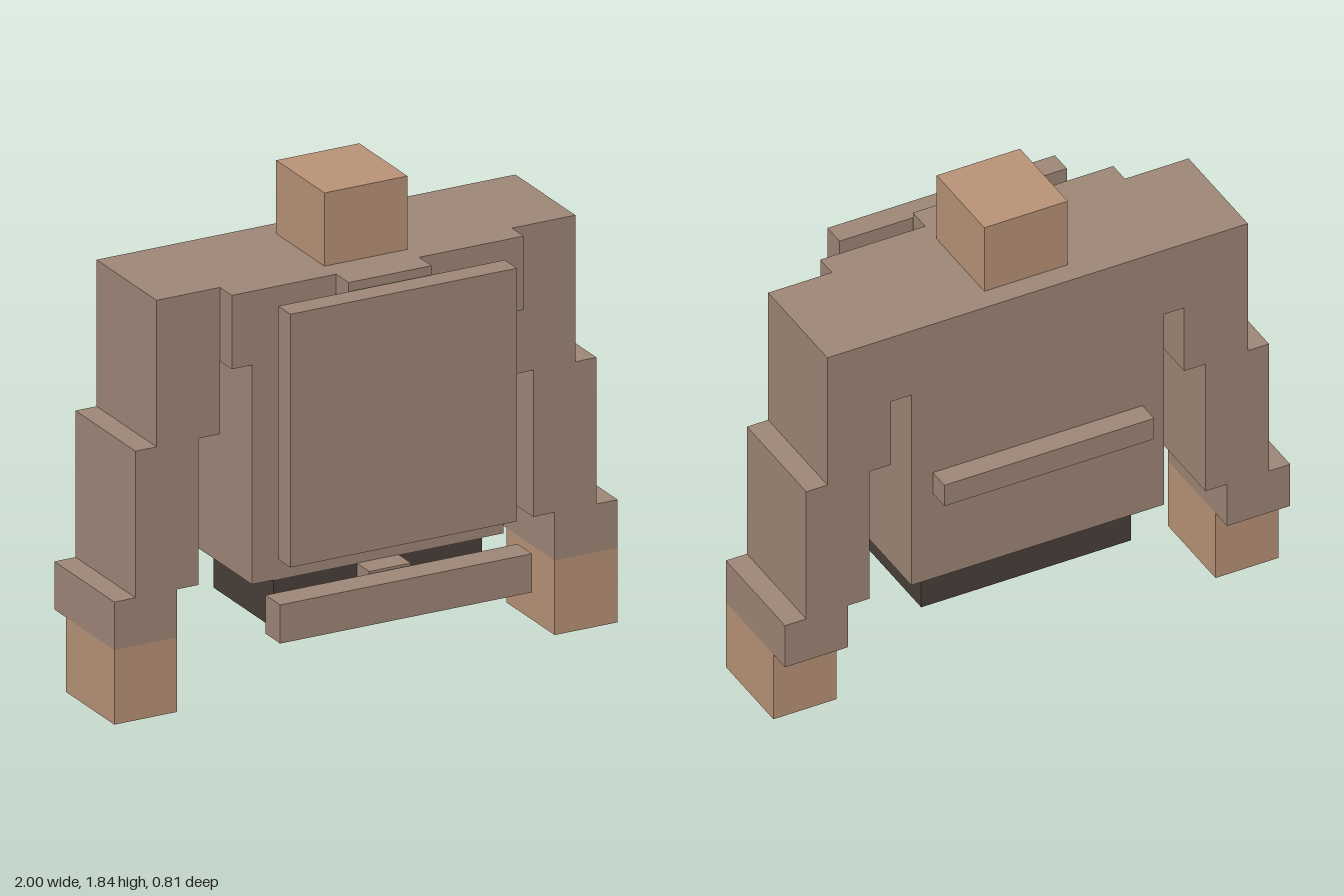
import * as THREE from 'three';

export function createModel() {
  const model = new THREE.Group();
  model.name = 'blockFigure';

  const material = (name, color) => {
    const m = new THREE.MeshStandardMaterial({ color });
    m.name = name;
    return m;
  };
  const cloth = material('brownCloth', 0xa08878);
  const skin = material('skin', 0xba9478);
  const dark = material('darkCloth', 0x4a403a);

  // Box given by its lower and upper limits on each axis
  const block = (name, mat, [x0, x1], [y0, y1], [z0, z1], parent = model) => {
    const mesh = new THREE.Mesh(new THREE.BoxGeometry(x1 - x0, y1 - y0, z1 - z0), mat);
    mesh.position.set((x0 + x1) / 2, (y0 + y1) / 2, (z0 + z1) / 2);
    mesh.name = name;
    parent.add(mesh);
  };
  const centred = (name, mat, halfWidth, y, z) =>
    block(name, mat, [-halfWidth, halfWidth], y, z);

  // Head and body
  const limbDepth = [-0.235, 0.115];
  centred('head', skin, 0.165, [1.56, 1.835], limbDepth);
  centred('yoke', cloth, 0.58, [1.283, 1.56], [-0.32, 0.2]);
  centred('torso', cloth, 0.5, [0.46, 1.283], [-0.32, 0.2]);
  centred('hips', dark, 0.415, [0.28, 0.46], [-0.235, 0.2]);

  // Front fastenings, front panel and belts
  for (let i = 0; i < 4; i++) {
    const top = 1.56 - i * 0.275;
    centred('fastening', cloth, 0.165, [top - 0.09, top], [0.2, 0.29]);
  }
  centred('buckle', cloth, 0.083, [0.28, 0.46], [0.2, 0.29]);
  centred('frontPanel', cloth, 0.45, [0.58, 1.53], [0.3, 0.388]);
  centred('frontBelt', cloth, 0.5, [0.31, 0.455], [0.3, 0.405]);
  centred('backBelt', cloth, 0.415, [0.828, 0.918], [-0.405, -0.32]);

  // Stepped arms, mirrored
  const sleeveDepth = [-0.32, 0.115];
  for (const side of [1, -1]) {
    const arm = new THREE.Group();
    arm.name = side > 0 ? 'leftArm' : 'rightArm';
    const span = (a, b) => (side > 0 ? [a, b] : [-b, -a]);
    block('upperSleeve', cloth, span(0.58, 0.832), [1.01, 1.56], sleeveDepth, arm);
    block('lowerSleeve', cloth, span(0.665, 0.916), [0.46, 1.01], sleeveDepth, arm);
    block('cuff', cloth, span(0.75, 1), [0.28, 0.46], sleeveDepth, arm);
    block('hand', skin, span(0.75, 1), [0, 0.28], limbDepth, arm);
    model.add(arm);
  }

  return model;
}
